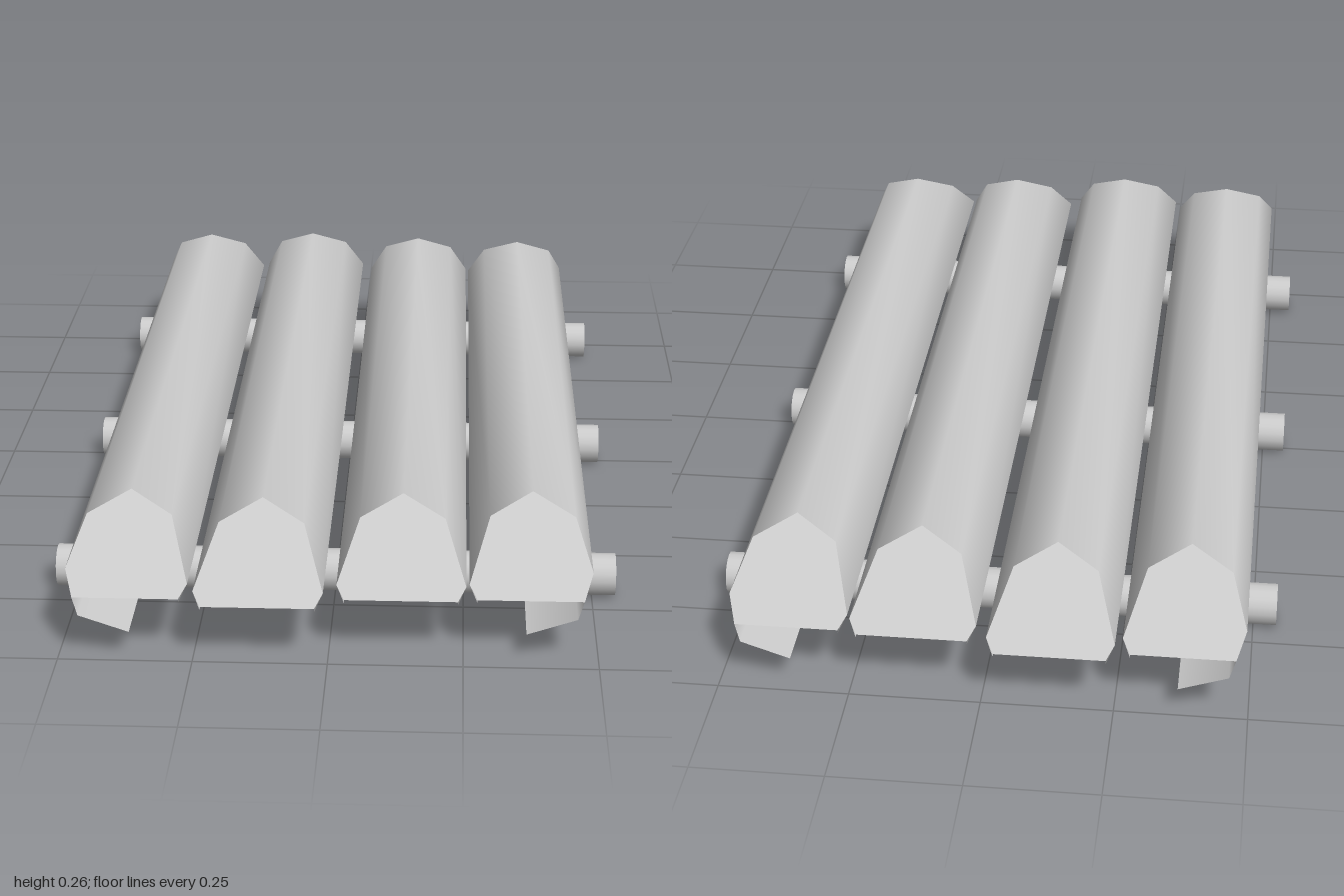
import * as THREE from 'three';

const material = new THREE.MeshStandardMaterial({ color: 0xcccccc, side: THREE.DoubleSide });
const TOP = 0.257, RIM = 0.112;

// Open-bottomed log cross-section from left to right, as [x, y]
const ARCH = [[-0.105, 0.106], [-0.12, 0.132], [-0.08, 0.223], [0, TOP], [0.08, 0.223], [0.12, 0.132], [0.105, 0.106]];
// Outer logs wrap further round on their outer (+x) side
const OUTER = [[-0.103, 0.106], [-0.118, 0.132], [-0.08, 0.223], [0, TOP], [0.08, 0.223], [0.111, 0.15], [0.094, RIM], [0.082, 0.082], [-0.012, 0.05]];

// Each log: centre x, side that wraps under (0 for none), and z of the top and tip of its ends
const LOGS = [
  { x: -0.38, wrap: -1, front: [0.795, 0.97], back: [0.81, 0.975] },
  { x: -0.129, wrap: 0, front: [0.825, 1], back: [0.83, 1] },
  { x: 0.134, wrap: 0, front: [0.795, 0.96], back: [0.8, 0.965] },
  { x: 0.378, wrap: 1, front: [0.775, 0.95], back: [0.78, 0.955] },
];

// z where the sloping end cut meets height y; the wrapped underside ends just past the tip
function cutZ([top, tip], y) {
  if (y < 0.1) return tip + 0.013;
  return top + (tip - top) * Math.min(1, (TOP - y) / (TOP - RIM));
}

function surface(positions, index, name) {
  const geometry = new THREE.BufferGeometry();
  geometry.setAttribute('position', new THREE.Float32BufferAttribute(positions, 3));
  geometry.setIndex(index);
  geometry.computeVertexNormals();
  const mesh = new THREE.Mesh(geometry, material);
  mesh.name = name;
  return mesh;
}

// Smooth bark shell swept along z between the two sloping cuts
function makeShell(profile, log) {
  const positions = [], index = [];
  for (const [x, y] of profile) {
    positions.push(x, y, cutZ(log.front, y), x, y, -cutZ(log.back, y));
  }
  for (let i = 0; i < profile.length - 1; i++) {
    const a = i * 2;
    index.push(a, a + 2, a + 1, a + 1, a + 2, a + 3);
  }
  return surface(positions, index, 'barkShell');
}

// Sloping end face, a fan around its centre
function makeCap(profile, end, dir, name) {
  const rim = profile.filter(([, y]) => y > 0.1).map(([x, y]) => [x, Math.max(y, RIM)]);
  const positions = [0, 0.16, dir * cutZ(end, 0.16)], index = [];
  for (const [x, y] of rim) positions.push(x, y, dir * cutZ(end, y));
  for (let i = 0; i < rim.length; i++) {
    const a = i + 1, b = (i + 1) % rim.length + 1;
    index.push(0, ...(dir > 0 ? [b, a] : [a, b]));
  }
  return surface(positions, index, name);
}

function makeLog(log) {
  const group = new THREE.Group();
  group.name = 'log';
  let profile = log.wrap ? OUTER : ARCH;
  if (log.wrap < 0) profile = profile.map(([x, y]) => [-x, y]).reverse();
  group.add(
    makeShell(profile, log),
    makeCap(profile, log.front, 1, 'frontEnd'),
    makeCap(profile, log.back, -1, 'backEnd'),
  );
  group.position.x = log.x;
  return group;
}

export function createModel() {
  const model = new THREE.Group();
  model.name = 'raft';
  for (const log of LOGS) model.add(makeLog(log));

  // Round crossbars under the logs
  const bar = new THREE.CylinderGeometry(0.041, 0.041, 1.09, 16).rotateZ(Math.PI / 2);
  for (const z of [-0.675, 0, 0.675]) {
    const mesh = new THREE.Mesh(bar, material);
    mesh.name = 'crossbar';
    mesh.position.set(0, 0.041, z);
    model.add(mesh);
  }
  return model;
}
